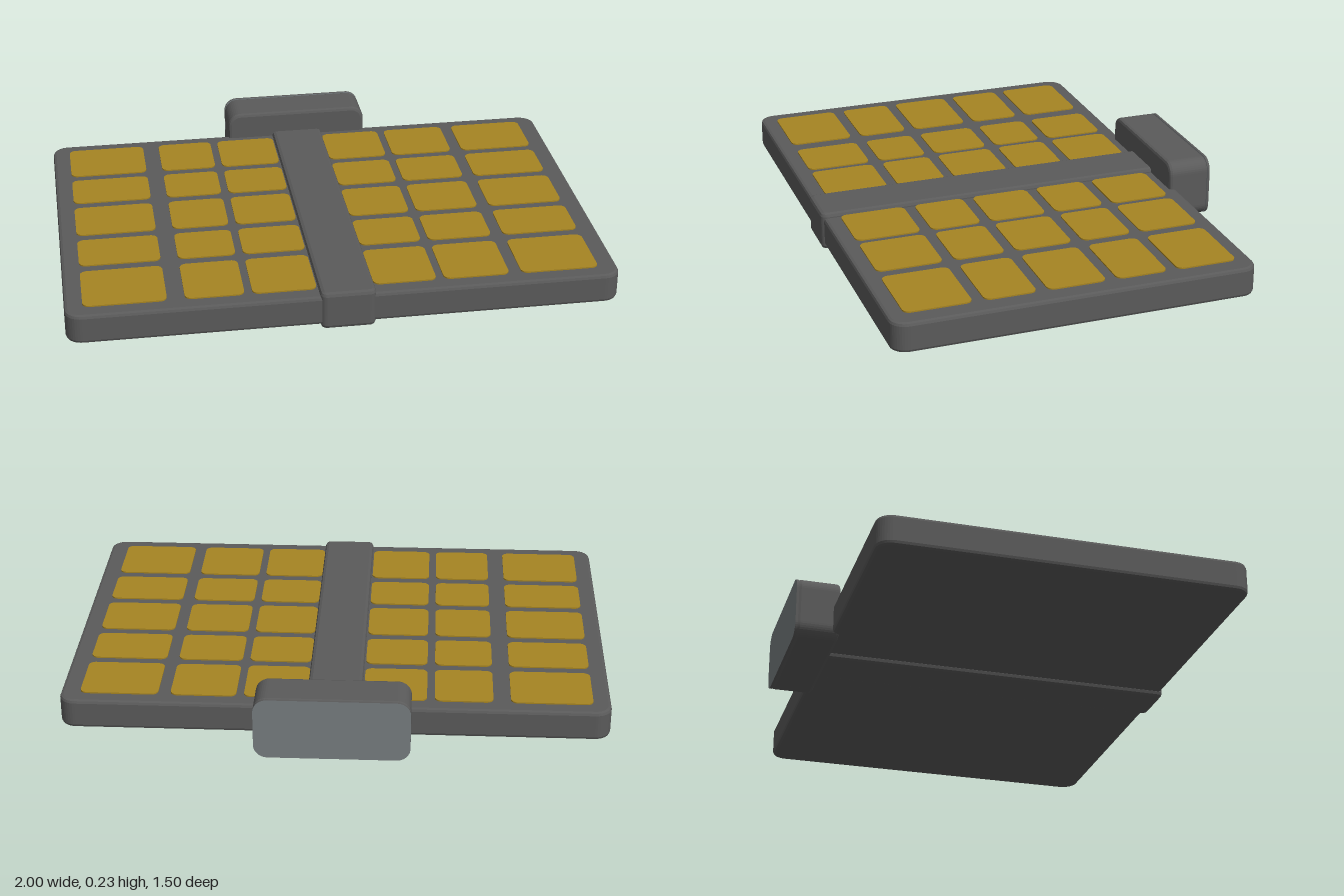
import * as THREE from 'three';

const mat = (name, color) => {
  const m = new THREE.MeshStandardMaterial({ color });
  m.name = name;
  return m;
};

// Rounded rectangle from (x0, y0) to (x1, y1)
function roundedRect(x0, y0, x1, y1, r) {
  const s = new THREE.Shape();
  s.moveTo(x0 + r, y0);
  s.lineTo(x1 - r, y0);
  s.absarc(x1 - r, y0 + r, r, -Math.PI / 2, 0);
  s.absarc(x1 - r, y1 - r, r, 0, Math.PI / 2);
  s.absarc(x0 + r, y1 - r, r, Math.PI / 2, Math.PI);
  s.absarc(x0 + r, y0 + r, r, Math.PI, Math.PI * 1.5);
  return s;
}

// Extrusion that fills exactly 0..depth, bevel included
function extrude(shape, depth, bevel = 0) {
  const g = new THREE.ExtrudeGeometry(shape, {
    depth: depth - 2 * bevel,
    bevelEnabled: bevel > 0,
    bevelThickness: bevel,
    bevelSize: bevel,
    bevelOffset: -bevel,
    bevelSegments: 2,
    curveSegments: 5,
  });
  return g.translate(0, 0, bevel);
}

// Horizontal plate spanning x0..x1, z0..z1, y0..y1
function slab(x0, x1, z0, z1, y0, y1, r, bevel) {
  return extrude(roundedRect(x0, -z1, x1, -z0, r), y1 - y0, bevel)
    .rotateX(-Math.PI / 2)
    .translate(0, y0, 0);
}

export function createModel() {
  const root = new THREE.Group();
  const frameGrey = mat('frame grey', 0x5a5a5a);
  const cellGold = mat('cell gold', 0xa68422);
  const plateGrey = mat('back plate grey', 0x777d80);

  const add = (name, geometry, material, parent = root) => {
    const mesh = new THREE.Mesh(geometry, material);
    mesh.name = name;
    parent.add(mesh);
  };

  // Main panel and the raised spine down its middle
  add('panel', slab(-1, 1, -0.61, 0.735, 0.02, 0.132, 0.06, 0.012), frameGrey);
  add('spine', slab(-0.1, 0.1, -0.61, 0.745, 0.005, 0.15, 0.025, 0.014), frameGrey);

  // Grid of gold cells, three columns each side of the spine
  const columns = [[-0.935, -0.638], [-0.575, -0.363], [-0.335, -0.105],
    [0.1, 0.33], [0.358, 0.598], [0.643, 0.928]];
  const rows = [[-0.553, -0.327], [-0.288, -0.098], [-0.058, 0.158], [0.198, 0.388], [0.43, 0.675]];
  const cells = new THREE.Group();
  cells.name = 'cells';
  root.add(cells);
  columns.forEach(([x0, x1], c) => rows.forEach(([z0, z1], r) => {
    add(`cell_${c}_${r}`, slab(x0, x1, z0, z1, 0.13, 0.137, 0.025, 0), cellGold, cells);
  }));

  // Mounting block at the back, closed by a flat plate
  const outline = roundedRect(-0.28, 0, 0.28, 0.235, 0.05);
  add('mountBlock', extrude(outline, 0.16, 0.012).translate(0, 0, -0.744), frameGrey);
  add('mountBackPlate', extrude(outline, 0.009).translate(0, 0, -0.75), [plateGrey, frameGrey]);

  return root;
}
